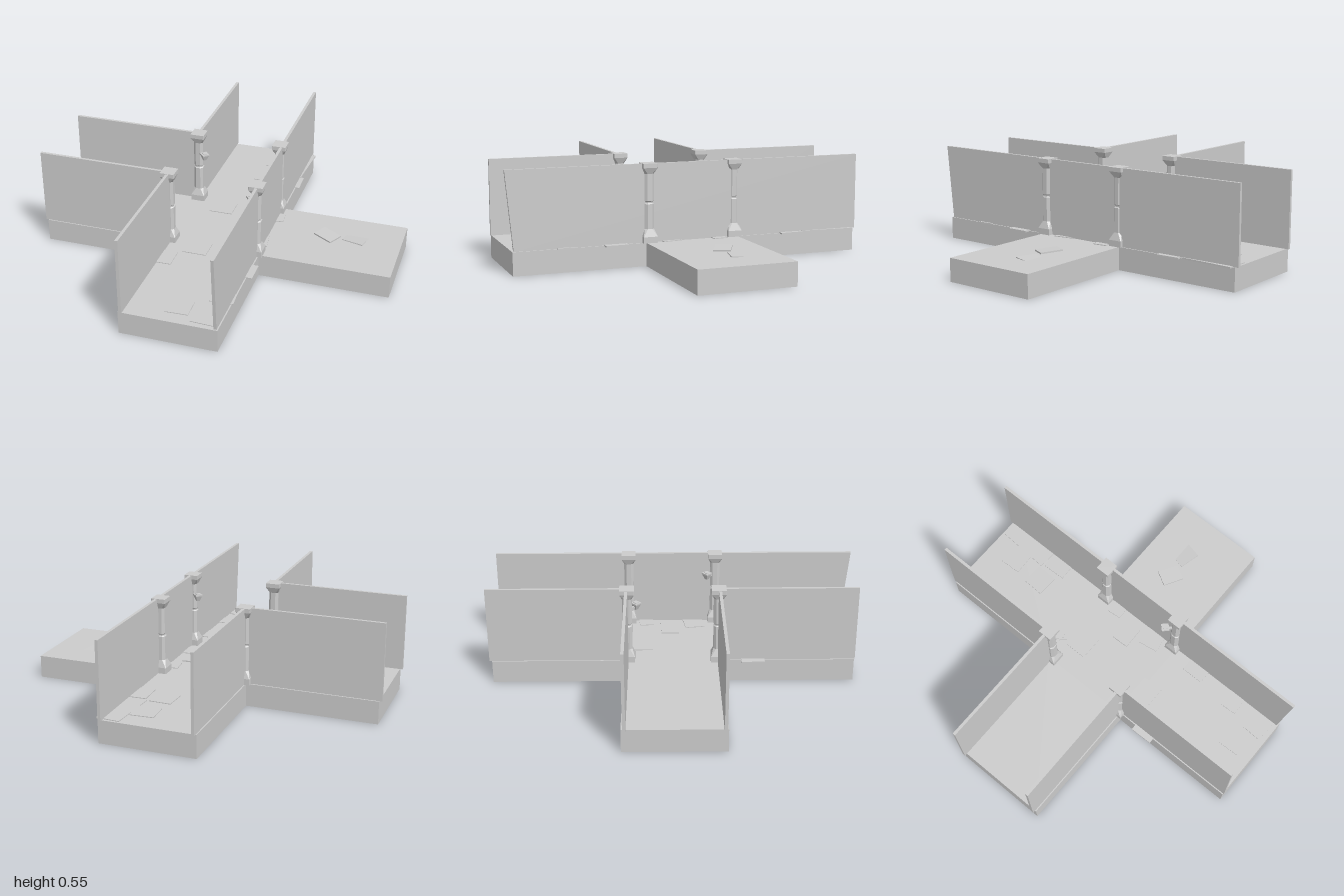
import * as THREE from 'three';

const FLOOR = 0.125, TOP = 0.545;
const mat = new THREE.MeshStandardMaterial({ color: 0xcccccc, flatShading: true });

function add(parent, geo, name, x = 0, y = 0, z = 0) {
  const m = new THREE.Mesh(geo, mat);
  m.name = name;
  m.position.set(x, y, z);
  parent.add(m);
  return m;
}

// Square column with chamfered corners, lofted through [y, half width, chamfer] sections
function pillarGeometry() {
  const rows = [
    [FLOOR, 0.039, 0.001], [0.158, 0.039, 0.001], [0.198, 0.026, 0.013],
    [0.33, 0.026, 0.013], [0.335, 0.021, 0.010], [0.342, 0.021, 0.010], [0.347, 0.026, 0.013],
    [0.49, 0.026, 0.013], [0.522, 0.039, 0.001], [TOP, 0.039, 0.001],
  ];
  const pos = [], idx = [];
  for (const [y, h, c] of rows) {
    const k = h - c;
    for (const [x, z] of [[h, k], [k, h], [-k, h], [-h, k], [-h, -k], [-k, -h], [k, -h], [h, -k]]) pos.push(x, y, z);
  }
  for (let r = 0; r < rows.length - 1; r++) {
    for (let i = 0; i < 8; i++) {
      const a = r * 8 + i, b = r * 8 + (i + 1) % 8;
      idx.push(a, a + 8, b, b, a + 8, b + 8);
    }
  }
  const t = (rows.length - 1) * 8;
  for (let i = 1; i < 7; i++) {
    idx.push(t, t + i + 1, t + i); // top
    idx.push(0, i, i + 1);         // bottom
  }
  const g = new THREE.BufferGeometry();
  g.setAttribute('position', new THREE.Float32BufferAttribute(pos, 3));
  g.setIndex(idx);
  g.computeVertexNormals();
  return g;
}

export function createModel() {
  const root = new THREE.Group();
  root.name = 'corridorCrossing';

  // Cross-shaped floor slab
  const x0 = -0.25, x1 = 0.27, z0 = -0.275, z1 = 0.25;
  const cross = new THREE.Shape([
    [x0, -0.985], [x1, -0.985], [x1, z0], [0.98, z0], [0.98, z1], [x1, z1],
    [x1, 0.965], [x0, 0.965], [x0, z1], [-0.965, z1], [-0.965, z0], [x0, z0],
  ].map(([x, z]) => new THREE.Vector2(x, -z)));
  const slab = new THREE.ExtrudeGeometry(cross, { depth: FLOOR, bevelEnabled: false });
  slab.rotateX(-Math.PI / 2);
  add(root, slab, 'floorSlab');

  // Walls: [name, xMin, xMax, zMin, zMax]
  const walls = [
    ['longWall', 0.247, 0.263, -1, 0.997],
    ['backWall', -0.244, -0.228, -1, -0.255],
    ['frontWall', -0.244, -0.228, 0.235, 0.97],
    ['sideWallBack', -0.98, -0.235, -0.267, -0.251],
    ['sideWallFront', -0.98, -0.235, 0.228, 0.244],
  ];
  for (const [name, xa, xb, za, zb] of walls) {
    const g = new THREE.BoxGeometry(xb - xa, TOP - 0.002 - FLOOR, zb - za);
    if (name === 'longWall') {
      // Front end leans outward toward the top
      const p = g.attributes.position;
      for (let i = 0; i < p.count; i++) if (p.getZ(i) > 0 && p.getY(i) < 0) p.setZ(i, p.getZ(i) - 0.04);
      g.computeVertexNormals();
    }
    add(root, g, name, (xa + xb) / 2, (TOP + FLOOR) / 2 - 0.001, (za + zb) / 2);
  }

  // Pillars at the four inner corners
  const pillar = pillarGeometry();
  for (const [x, z] of [[-0.235, -0.255], [-0.238, 0.23], [0.242, -0.255], [0.251, 0.231]]) {
    add(root, pillar, 'pillar', x, 0, z);
  }

  // Wall torches on two opposite pillars, facing the centre
  const bowl = new THREE.CylinderGeometry(0.027, 0.011, 0.03, 4);
  const rim = new THREE.CylinderGeometry(0.029, 0.029, 0.008, 4);
  const flame = new THREE.CylinderGeometry(0.016, 0.016, 0.003, 4);
  const arm = new THREE.BoxGeometry(0.012, 0.012, 0.04);
  for (const [x, z, s] of [[-0.187, -0.208, 1], [0.205, 0.185, -1]]) {
    const torch = new THREE.Group();
    torch.name = 'torch';
    torch.position.set(x, 0, z);
    add(torch, bowl, 'torchBowl', 0, 0.417, 0);
    add(torch, rim, 'torchRim', 0, 0.436, 0);
    add(torch, flame, 'torchCore', 0, 0.4415, 0);
    add(torch, arm, 'torchArm', -0.015 * s, 0.418, -0.015 * s).rotation.y = Math.PI / 4;
    root.add(torch);
  }

  // Loose paving tiles: [x, z, turn, width, depth, lift]
  const tiles = [
    [0.225, -0.595, 0.03, 0.13, 0.13, 0], [0.09, -0.815, 0.05, 0.13, 0.12, 0],
    [0.215, -0.82, -0.06, 0.125, 0.3, 0], [0.07, -0.62, -0.04, 0.12, 0.12, 0],
    [-0.065, -0.18, 0, 0.13, 0.12, 0], [0.135, -0.025, 0.03, 0.125, 0.1, 0.003],
    [-0.065, 0.28, 0, 0.13, 0.12, 0], [-0.215, 0.418, 0.02, 0.13, 0.125, 0],
    [0.238, 0.418, 0, 0.125, 0.125, 0], [0.03, 0.83, 0.04, 0.12, 0.12, 0],
    [0.212, 0.69, 0.06, 0.125, 0.09, 0], [0.18, 0.88, -0.05, 0.12, 0.11, 0],
    [0.24, -0.16, 0.1, 0.12, 0.08, 0], [0.215, 0.11, 0.15, 0.13, 0.11, 0],
  ];
  for (const [x, z, turn, w, d, lift] of tiles) {
    add(root, new THREE.BoxGeometry(w, 0.008, d), 'floorTile', x, FLOOR + lift, z).rotation.y = turn;
  }

  // Two dislodged tiles lying tilted on the open arm
  const loose = new THREE.BoxGeometry(0.12, 0.008, 0.09);
  add(root, loose, 'looseTile', 0.575, FLOOR + 0.008, -0.055).rotation.set(0.03, -0.5, -0.04);
  add(root, loose, 'looseTile', 0.73, FLOOR - 0.002, -0.07).rotation.set(-0.07, -0.25, 0);

  return root;
}
